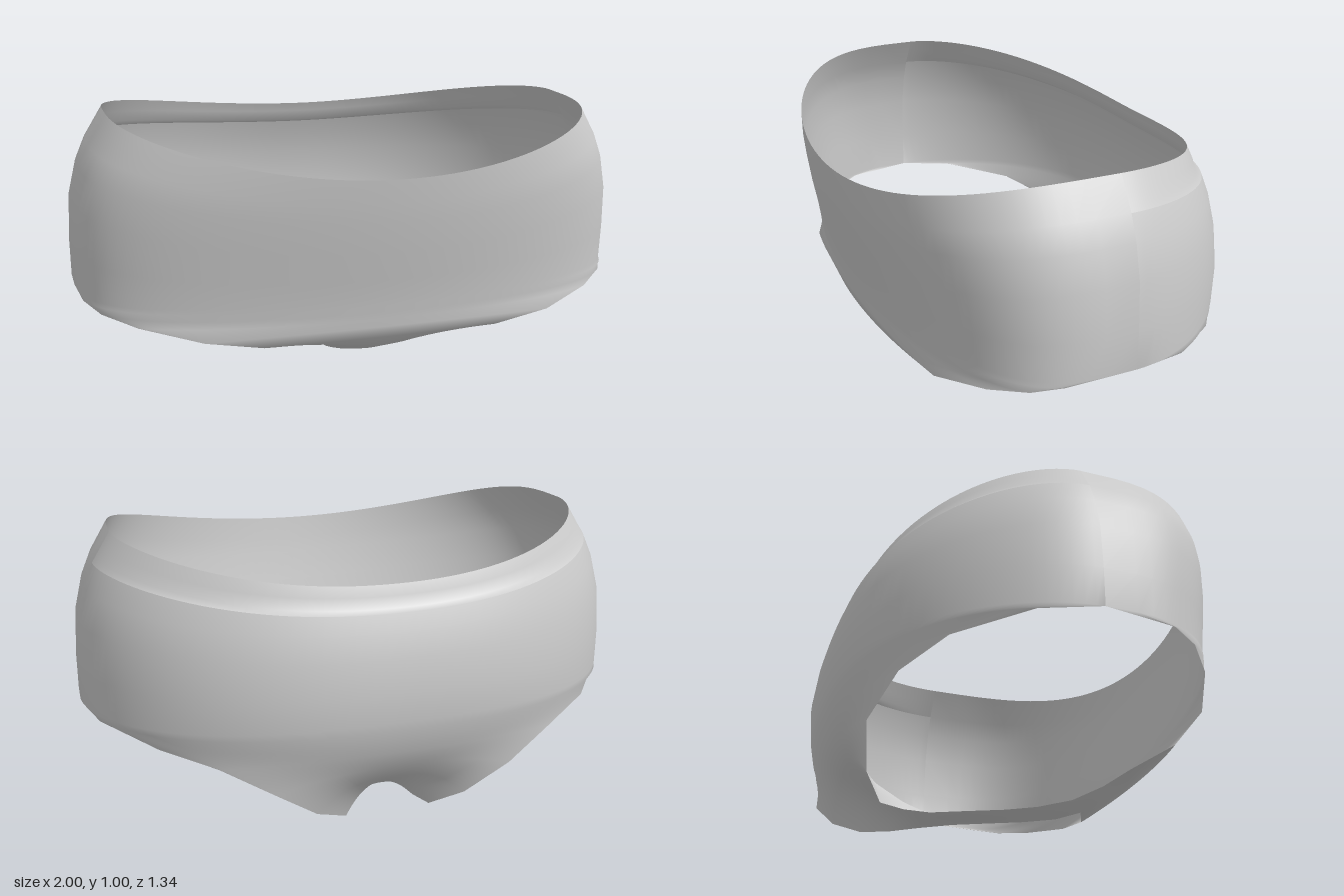
import * as THREE from 'three';

const COLS = 56;

// Cross-rows: [centre y, centre z, edge x, edge y, edge z]
// Full rows run from side seam to side seam; the others end on the leg openings.
const frontRows = [
  [0.84, 0.67, 0.86, 0.985, 0],
  [0.76, 0.66, 0.925, 0.88, 0],
  [0.69, 0.648, 0.96, 0.8, 0],
  [0.58, 0.628, 0.99, 0.68, 0],
  [0.48, 0.605, 1.0, 0.52, 0],
  [0.41, 0.592, 1.0, 0.385, 0],
  [0.385, 0.588, 0.98, 0.37, 0.24],
  [0.36, 0.584, 0.93, 0.35, 0.335],
  [0.335, 0.58, 0.82, 0.325, 0.43],
  [0.305, 0.577, 0.62, 0.288, 0.525],
  [0.265, 0.57, 0.42, 0.25, 0.525],
  [0.2, 0.49, 0.23, 0.22, 0.44],
];
const crotchRows = [
  [0.15, 0.39, 0.15, 0.17, 0.36],
  [0.1, 0.27, 0.11, 0.115, 0.25],
  [0.068, 0.13, 0.085, 0.08, 0.12],
  [0.05, 0, 0.075, 0.058, 0],
  [0.037, -0.15, 0.075, 0.035, -0.15],
  [0.022, -0.27, 0.085, 0.012, -0.28],
  [0.065, -0.37, 0.12, 0.002, -0.38],
];
const backRows = [
  [0.125, -0.47, 0.155, 0.006, -0.47],
  [0.18, -0.56, 0.27, 0.07, -0.545],
  [0.24, -0.61, 0.42, 0.18, -0.585],
  [0.3, -0.635, 0.6, 0.278, -0.53],
  [0.35, -0.652, 0.78, 0.33, -0.42],
  [0.39, -0.66, 0.95, 0.368, -0.2],
  [0.42, -0.665, 1.0, 0.385, 0],
  [0.52, -0.672, 1.0, 0.52, 0],
  [0.64, -0.655, 0.99, 0.68, 0],
  [0.72, -0.635, 0.96, 0.8, 0],
  [0.78, -0.613, 0.925, 0.88, 0],
];
// Narrow band folded slightly inward along the back of the waist
const bandRows = [
  [0.78, -0.613, 0.925, 0.88, 0],
  [0.79, -0.59, 0.912, 0.901, 0],
  [0.83, -0.58, 0.889, 0.938, 0],
  [0.865, -0.565, 0.86, 0.985, 0],
];

// One point on a row, u from -1 (right edge) to 1 (left edge)
function rowPoint([cy, cz, ex, ey, ez], u) {
  // Hip outline x^p + z^q = 1: sharp front corners, rounder back
  const [p, q] = cz > 0 ? [2, 3.4] : [2.5, 1.75];
  const drop = (x) => 1 - Math.pow(Math.max(0, 1 - Math.pow(x, p)), 1 / q);
  const full = ex > 0.8 && ez === 0;
  const reach = full ? 1 : ex;
  const across = Math.sin(Math.abs(u) * Math.PI / 2);
  const g = drop(across * reach) / drop(reach);
  const rise = full ? across * across : g;
  const shift = -0.045 * Math.max(0, 1 - ex / 0.2);
  const x = Math.sign(u) * ex * across + shift;
  const y = cy + (ey - cy) * rise - 0.015 * x;
  return [x, y, cz + (ez - cz) * g];
}

// Loft a smooth cloth surface through the rows
function cloth(name, rows) {
  const positions = [];
  const index = [];
  rows.forEach((row, i) => {
    for (let j = 0; j <= COLS; j++) {
      positions.push(...rowPoint(row, (2 * j) / COLS - 1));
      if (i < rows.length - 1 && j < COLS) {
        const a = i * (COLS + 1) + j;
        const b = a + COLS + 1;
        index.push(a, b, a + 1, b, b + 1, a + 1);
      }
    }
  });
  const geometry = new THREE.BufferGeometry();
  geometry.setAttribute('position', new THREE.Float32BufferAttribute(positions, 3));
  geometry.setIndex(index);
  geometry.computeVertexNormals();
  const material = new THREE.MeshStandardMaterial({ color: 0xcccccc, side: THREE.DoubleSide });
  const mesh = new THREE.Mesh(geometry, material);
  mesh.name = name;
  return mesh;
}

export function createModel() {
  const group = new THREE.Group();
  group.name = 'briefs';
  group.add(cloth('briefsBody', [...frontRows, ...crotchRows, ...backRows]));
  group.add(cloth('backWaistband', bandRows));
  return group;
}
